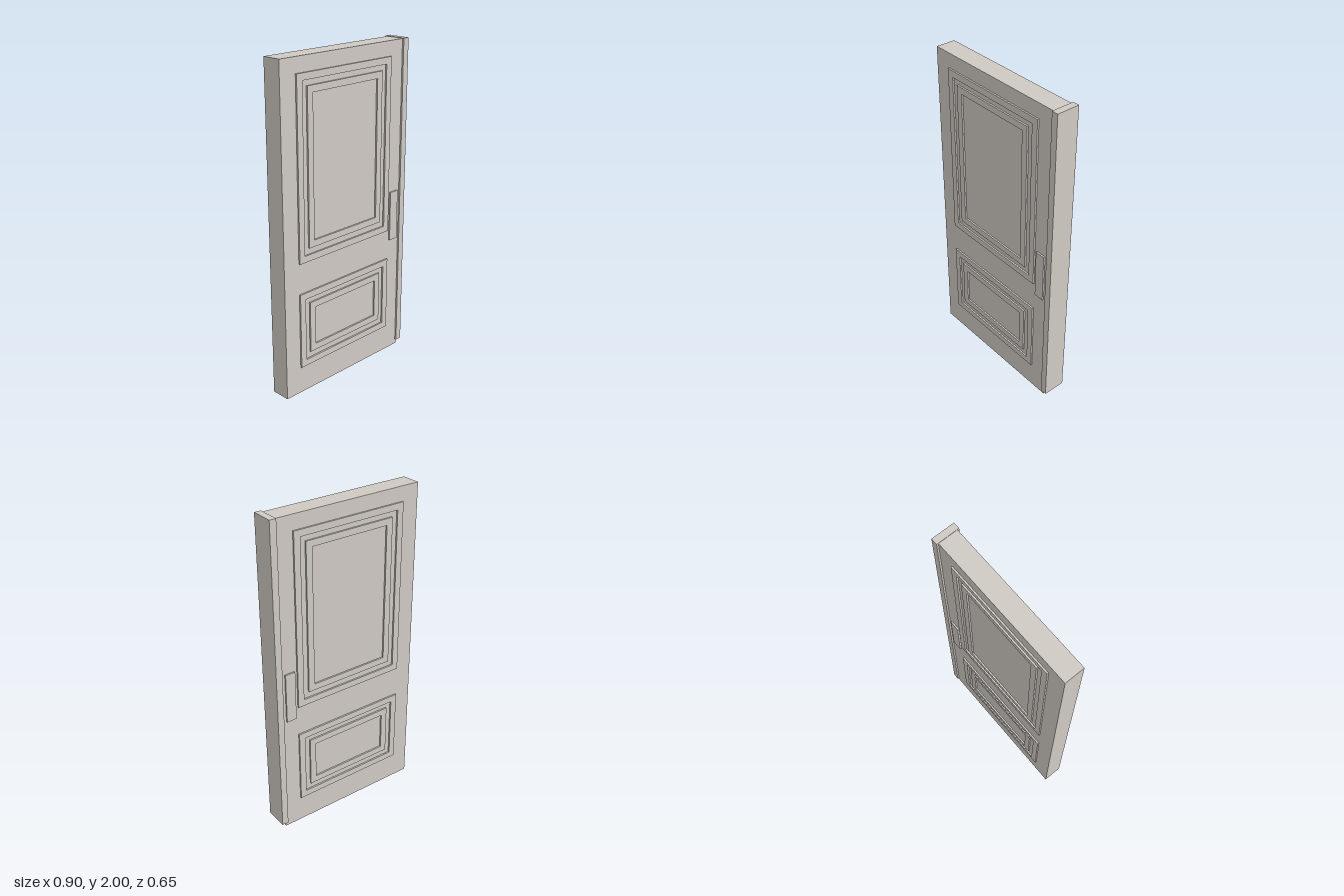
import * as THREE from 'three';

const HALF = 0.06;   // half thickness of the door leaf
const RAISE = 0.01;  // height of mouldings and plates above the leaf

export function createModel() {
  const model = new THREE.Group();
  model.name = 'door';
  const paint = new THREE.MeshStandardMaterial({ color: 0xcfc9c3 });
  paint.name = 'warm grey paint';

  const add = (geometry, name) => {
    const mesh = new THREE.Mesh(geometry, paint);
    mesh.name = name;
    model.add(mesh);
    return mesh;
  };

  // Box given by its limits
  const box = (name, x0, x1, y0, y1, z0, z1) =>
    add(new THREE.BoxGeometry(x1 - x0, y1 - y0, z1 - z0), name)
      .position.set((x0 + x1) / 2, (y0 + y1) / 2, (z0 + z1) / 2);

  // Flat rectangular moulding with an open middle
  const frame = (name, [x0, x1, y0, y1], w, z) => {
    const rect = (Type, d) => new Type().setFromPoints([
      [x0 + d, y0 + d], [x1 - d, y0 + d], [x1 - d, y1 - d], [x0 + d, y1 - d],
    ].map(p => new THREE.Vector2(...p))).closePath();
    const shape = rect(THREE.Shape, 0);
    shape.holes.push(rect(THREE.Path, w));
    add(new THREE.ExtrudeGeometry(shape, { depth: RAISE, bevelEnabled: false }), name).position.z = z;
  };

  // Door leaf and the closing strip on its free edge
  box('leaf', -0.497, 0.459, 0, 1.997, -HALF, HALF);
  box('edgeStrip', 0.449, 0.49, 0.03, 2, -0.071, 0.071);

  // Mouldings and handle plates on both faces
  const panels = { upper: [0.832, 1.908], lower: [0.17, 0.642] };
  for (const [side, z] of [['Front', HALF], ['Back', -HALF - RAISE]]) {
    for (const [name, [y0, y1]] of Object.entries(panels)) {
      frame(`${name}OuterMoulding${side}`, [-0.388, 0.347, y0, y1], 0.04, z);
      frame(`${name}InnerMoulding${side}`, [-0.313, 0.272, y0 + 0.078, y1 - 0.073], 0.04, z);
    }
    box(`handlePlate${side}`, 0.364, 0.428, 0.764, 1.077, z, z + RAISE);
  }

  // The door stands partly swung open
  model.rotation.y = 0.585;
  const root = new THREE.Group();
  root.name = 'openDoor';
  root.add(model);
  return root;
}
